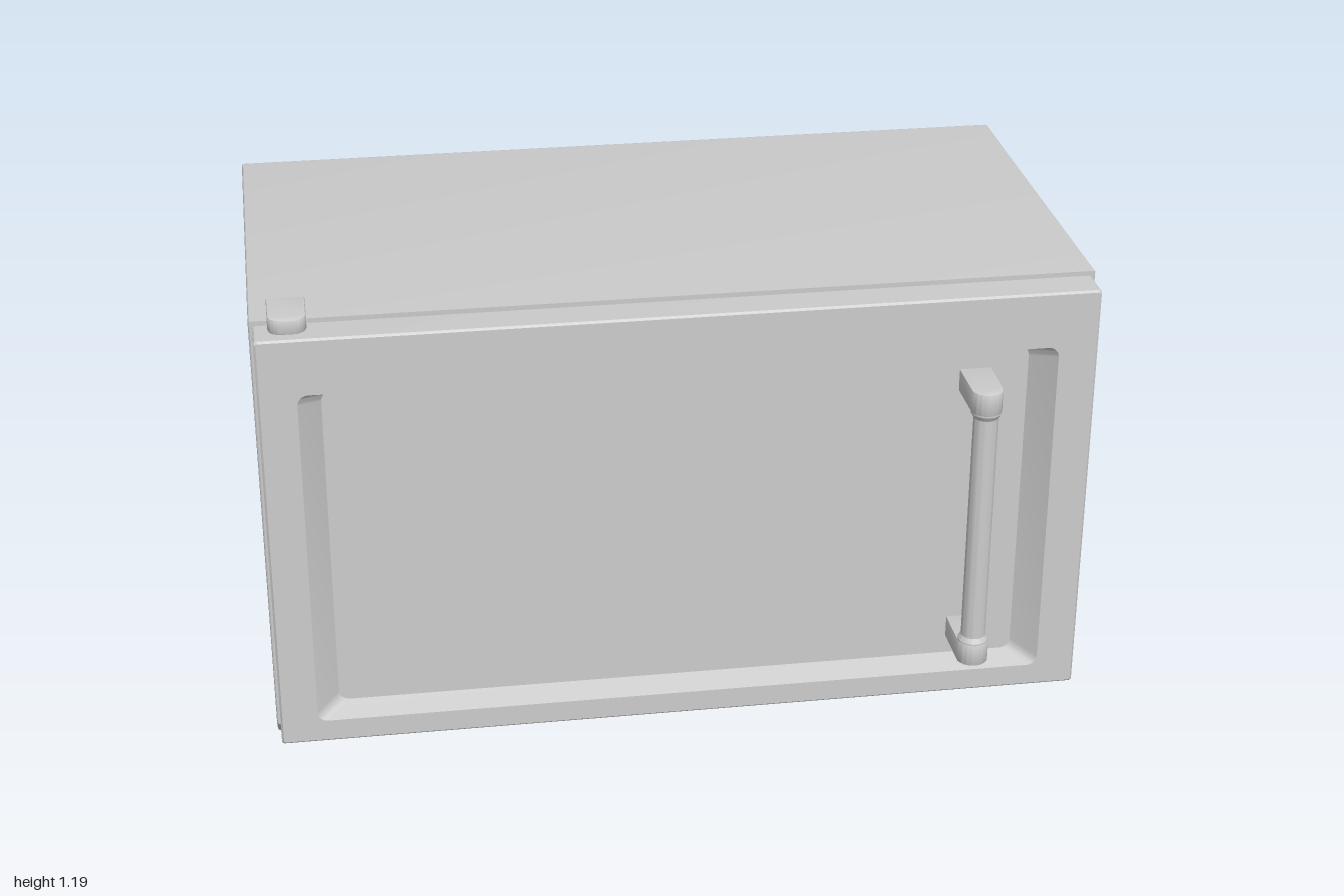
import * as THREE from 'three';
import { toCreasedNormals } from 'three/addons/utils/BufferGeometryUtils.js';

const material = new THREE.MeshStandardMaterial({ color: 0xcccccc });

function addMesh(parent, name, geometry, x = 0, y = 0, z = 0) {
  const mesh = new THREE.Mesh(toCreasedNormals(geometry, 0.5), material);
  mesh.name = name;
  mesh.position.set(x, y, z);
  parent.add(mesh);
  return mesh;
}

// Rounded rectangle as a ring of points, counter-clockwise seen from +z
function ring(x0, x1, y0, y1, r, z, steps = 5) {
  const corners = [[x1 - r, y0 + r], [x1 - r, y1 - r], [x0 + r, y1 - r], [x0 + r, y0 + r]];
  const points = [];
  corners.forEach(([cx, cy], i) => {
    for (let k = 0; k <= steps; k++) {
      const a = (i - 1 + k / steps) * Math.PI / 2;
      points.push(new THREE.Vector3(cx + r * Math.cos(a), cy + r * Math.sin(a), z));
    }
  });
  return points;
}

// Skin through successive rings, closed at both ends
function loft(rings) {
  const centre = (r) => {
    const c = new THREE.Box3().setFromPoints(r).getCenter(new THREE.Vector3());
    return r.map(() => c);
  };
  const all = [centre(rings[0]), ...rings, centre(rings[rings.length - 1])];
  const pos = [];
  const tri = (a, b, c) => {
    if (a !== b && b !== c && a !== c) for (const p of [a, b, c]) pos.push(p.x, p.y, p.z);
  };
  for (let i = 0; i < all.length - 1; i++) {
    const a = all[i], b = all[i + 1];
    for (let j = 0; j < a.length; j++) {
      const k = (j + 1) % a.length;
      tri(a[j], a[k], b[k]);
      tri(a[j], b[k], b[j]);
    }
  }
  const geometry = new THREE.BufferGeometry();
  geometry.setAttribute('position', new THREE.Float32BufferAttribute(pos, 3));
  return geometry;
}

// Cabinet: side profile (z, y) with a chamfered toe, extruded across the width
function cabinetGeometry() {
  const s = new THREE.Shape();
  const r = 0.008;
  s.moveTo(0.41, 0.06);
  s.lineTo(0.41, 1.145);
  s.lineTo(-0.605 + r, 1.145);
  s.quadraticCurveTo(-0.605, 1.145, -0.605, 1.145 - r);
  s.lineTo(-0.605, r);
  s.quadraticCurveTo(-0.605, 0, -0.605 + r, 0);
  s.lineTo(0.345, 0);
  s.closePath();
  const b = 0.007;
  return new THREE.ExtrudeGeometry(s, {
    depth: 2 - 2 * b, bevelThickness: b, bevelSize: b, bevelOffset: -b, bevelSegments: 3, curveSegments: 4,
  }).translate(0, 0, -1 + b).rotateY(-Math.PI / 2);
}

// Flat block with a rounded front, drawn in plan and standing on y = 0
function roundedFrontBlock(width, back, front, radius, height, bevel) {
  const w = width / 2;
  const s = new THREE.Shape();
  s.moveTo(-w, -back);
  s.lineTo(-w, -front + radius);
  s.absarc(-w + radius, -front + radius, radius, Math.PI, Math.PI * 1.5, false);
  s.absarc(w - radius, -front + radius, radius, Math.PI * 1.5, Math.PI * 2, false);
  s.lineTo(w, -back);
  s.closePath();
  return new THREE.ExtrudeGeometry(s, {
    depth: height - 2 * bevel, bevelThickness: bevel, bevelSize: bevel, bevelOffset: -bevel,
    bevelSegments: 2, curveSegments: 12,
  }).translate(0, 0, bevel).rotateX(-Math.PI / 2);
}

export function createModel() {
  const model = new THREE.Group();
  model.name = 'compactRefrigerator';

  addMesh(model, 'cabinet', cabinetGeometry());
  addMesh(model, 'doorSeal', new THREE.BoxGeometry(1.91, 1.035, 0.03), 0, 0.6025, 0.417);

  // Door slab with a sloped, recessed front panel
  const door = new THREE.Group();
  door.name = 'door';
  model.add(door);
  addMesh(door, 'doorPanel', loft([
    ring(-0.99, 0.985, 0.067, 1.14, 0.008, 0.425),
    ring(-0.99, 0.985, 0.067, 1.14, 0.008, 0.51),
    ring(-0.985, 0.98, 0.072, 1.135, 0.006, 0.515),
    ring(-0.9, 0.89, 0.125, 1.0, 0.025, 0.515),
    ring(-0.845, 0.835, 0.145, 0.98, 0.025, 0.455),
  ]));

  // Handle: two brackets joined by a bar that flares at its ends
  const handle = new THREE.Group();
  handle.name = 'handle';
  handle.position.set(0.705, 0, 0);
  door.add(handle);
  for (const [name, y] of [['lowerBracket', 0.192], ['upperBracket', 0.874]]) {
    addMesh(handle, name, roundedFrontBlock(0.076, 0.45, 0.606, 0.0375, 0.056, 0.002), 0, y, 0);
  }
  const barProfile = [[0.037, 0.245], [0.037, 0.252], [0.03, 0.264], [0.03, 0.858], [0.037, 0.87], [0.037, 0.877]];
  addMesh(handle, 'handleBar',
    new THREE.LatheGeometry(barProfile.map(([r, y]) => new THREE.Vector2(r, y)), 32), 0, 0, 0.568);

  // Top hinge cover bridging cabinet and door
  addMesh(model, 'hingeCover', roundedFrontBlock(0.088, 0.38, 0.511, 0.03, 0.037, 0.005), -0.912, 1.151, 0);

  return model;
}
